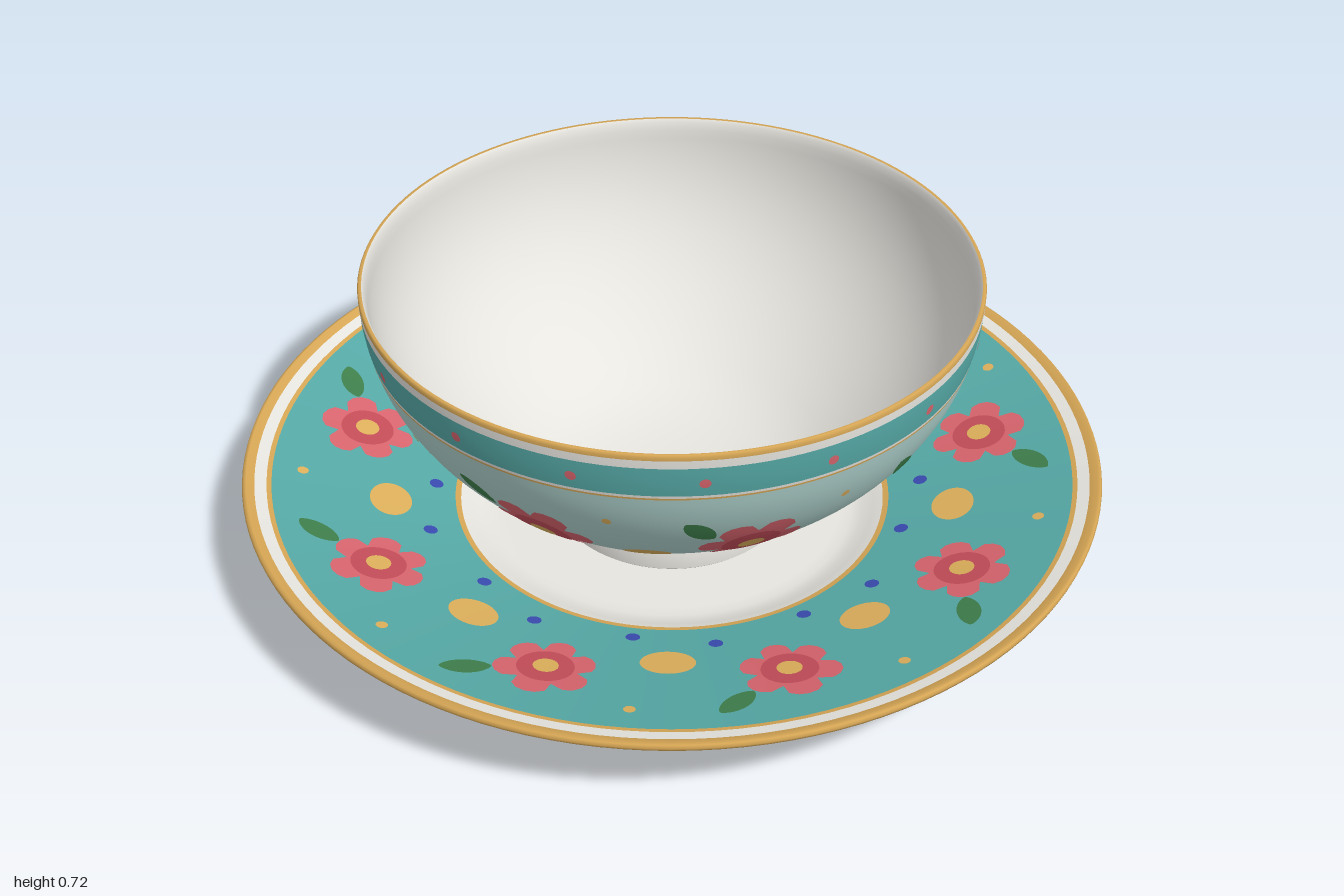
import * as THREE from 'three';
import { mergeGeometries } from 'three/addons/utils/BufferGeometryUtils.js';

const mat = (name, color) => {
  const m = new THREE.MeshStandardMaterial({ color });
  m.name = name;
  return m;
};

export function createModel() {
  const M = {
    white: mat('porcelain white', 0xe8e6e0),
    teal: mat('teal glaze', 0x56aaa7),
    aqua: mat('pale aqua glaze', 0xb0d3ce),
    gold: mat('gold trim', 0xd6a655),
    pink: mat('petal pink', 0xd9656e),
    rose: mat('deep rose', 0xc44d59),
    yellow: mat('blossom yellow', 0xdfb15c),
    green: mat('leaf green', 0x3f7f4c),
    blue: mat('berry blue', 0x3a4bb0),
  };
  const model = new THREE.Group();
  model.name = 'bowlAndSaucer';

  // A turned ring; points run from bottom centre, outside, over the rim, to inside centre
  const lathe = (group, name, material, points) => {
    const geo = new THREE.LatheGeometry(points.map(([r, y]) => new THREE.Vector2(r, y)), 128);
    const mesh = new THREE.Mesh(geo, material);
    mesh.name = name;
    group.add(mesh);
  };
  // Samples of a profile function between two heights
  const sample = (fn, a, b, n) => Array.from({ length: n + 1 }, (_, i) => fn(a + (b - a) * i / n));

  // A thin painted patch: concentric rings of an outline laid on a curved surface
  const patch = (outline, map, n = 36, rings = 4) => {
    const pos = [...map(0, 0)], index = [];
    for (let k = 1; k <= rings; k++)
      for (let i = 0; i < n; i++) {
        const [u, v] = outline(i / n * Math.PI * 2);
        pos.push(...map(u * k / rings, v * k / rings));
      }
    const id = (k, i) => 1 + (k - 1) * n + i % n;
    for (let i = 0; i < n; i++) {
      index.push(0, id(1, i), id(1, i + 1));
      for (let k = 1; k < rings; k++)
        index.push(id(k, i), id(k + 1, i), id(k + 1, i + 1), id(k, i), id(k + 1, i + 1), id(k, i + 1));
    }
    const g = new THREE.BufferGeometry();
    g.setAttribute('position', new THREE.Float32BufferAttribute(pos, 3));
    g.setIndex(index);
    g.computeVertexNormals();
    return g;
  };
  const oval = (a, b = a, turn = 0) => t => {
    const x = a * Math.cos(t), y = b * Math.sin(t), c = Math.cos(turn), s = Math.sin(turn);
    return [x * c - y * s, x * s + y * c];
  };
  const leaf = (a, b, turn) => t => {
    const x = a * Math.cos(t), y = b * Math.sin(t) * Math.abs(Math.sin(t)) ** 0.4;
    return [x * Math.cos(turn) - y * Math.sin(turn), x * Math.sin(turn) + y * Math.cos(turn)];
  };
  const petals = R => t => {
    const r = R * (0.64 + 0.36 * Math.sqrt(Math.abs(Math.cos(3 * t))));
    return [r * Math.cos(t), r * Math.sin(t)];
  };

  // Collects patches by colour, then adds one mesh per colour
  const painter = place => {
    const lists = {};
    const paint = (color, outline, angle, at, lift = 0.003) =>
      (lists[color] ??= []).push(patch(outline, place(angle * Math.PI / 180, at, lift)));
    const flower = (angle, at, R) => {
      paint('pink', petals(R), angle, at, 0.003);
      paint('rose', oval(R * 0.56), angle, at, 0.005);
      paint('yellow', oval(R * 0.25), angle, at, 0.007);
    };
    const finish = (group, names) => {
      for (const [color, list] of Object.entries(lists)) {
        const mesh = new THREE.Mesh(mergeGeometries(list), M[color]);
        mesh.name = names + color[0].toUpperCase() + color.slice(1);
        group.add(mesh);
      }
    };
    return { paint, flower, finish };
  };

  // ---- Saucer ----
  const saucer = new THREE.Group();
  saucer.name = 'saucer';
  model.add(saucer);
  const topY = r => 0.1 + (r - 0.515) * 0.264;
  const ring = (name, m, outer, inner) =>
    lathe(saucer, name, m, sample(r => [r, topY(r)], outer, inner, 4));
  lathe(saucer, 'saucerUnderside', M.white, [[0, 0.022], [0.42, 0.022], [0.44, 0.016],
    [0.46, 0.003], [0.475, 0], [0.492, 0.001], [0.5, 0.01], [0.512, 0.03], [0.535, 0.046],
    [0.6, 0.071], [0.8, 0.142], [0.99, 0.209]]);
  lathe(saucer, 'saucerRim', M.gold, [[0.99, 0.209], [0.998, 0.214], [1, 0.221], [0.997, 0.228],
    [0.99, 0.23], [0.972, topY(0.972)]]);
  ring('rimWhiteBand', M.white, 0.972, 0.945);
  ring('rimGoldLine', M.gold, 0.945, 0.934);
  ring('saucerGlaze', M.teal, 0.934, 0.515);
  ring('wellGoldLine', M.gold, 0.515, 0.502);
  lathe(saucer, 'saucerWell', M.white, [[0.502, topY(0.502)], [0.48, 0.087], [0.455, 0.073],
    [0.43, 0.067], [0.4, 0.065], [0, 0.065]]);

  // Saucer painting: u runs outward, v runs around
  const onSaucer = painter((phi, r0, lift) => (u, v) => {
    const r = r0 + u, p = phi - v / r0;
    return [r * Math.cos(p), topY(r) + lift, r * Math.sin(p)];
  });
  for (let i = 0; i < 9; i++) {
    const a = i * 40;
    onSaucer.flower(a + 20, 0.75, 0.11);
    onSaucer.paint('yellow', oval(0.048, 0.06), a, 0.665);
    onSaucer.paint('green', leaf(0.055, 0.026, -50 * Math.PI / 180), a - 10, 0.845);
    onSaucer.paint('yellow', oval(0.013), a + 5, 0.865);
    onSaucer.paint('blue', oval(0.016), a + 8, 0.56);
    onSaucer.paint('blue', oval(0.016), a + 30, 0.59);
  }
  onSaucer.finish(saucer, 'saucerPainting');

  // ---- Bowl ----
  const bowl = new THREE.Group();
  bowl.name = 'bowl';
  model.add(bowl);
  const bowlR = y => {
    const d = 0.715 - y;
    return 0.695 - 0.83 * d * d - 0.84 * d * d * d;
  };
  const band = (name, m, y0, y1, n = 3) => lathe(bowl, name, m, sample(y => [bowlR(y), y], y0, y1, n));
  lathe(bowl, 'bowlFoot', M.white, [[0, 0.085], [0.235, 0.085], [0.245, 0.068], [0.27, 0.068],
    [0.278, 0.076], [0.272, 0.11], [bowlR(0.145), 0.145]]);
  band('bowlBody', M.aqua, 0.145, 0.596, 24);
  band('bandGoldLine', M.gold, 0.596, 0.601);
  band('bandWhiteLine', M.white, 0.601, 0.608);
  band('bowlBand', M.teal, 0.608, 0.684, 6);
  band('rimWhiteBand', M.white, 0.684, 0.704);
  lathe(bowl, 'bowlRim', M.gold, [[bowlR(0.704), 0.704], [0.695, 0.712], [0.692, 0.717], [0.686, 0.716]]);
  lathe(bowl, 'bowlInside', M.white, [[0.686, 0.716], [0.681, 0.709],
    ...sample(y => [bowlR(y) - 0.018, y], 0.69, 0.25, 20),
    [0.36, 0.212], [0.3, 0.178], [0.23, 0.155], [0.15, 0.142], [0.07, 0.137], [0, 0.136]]);

  // Bowl painting: u runs around, v runs up
  const onBowl = painter((phi, y0, lift) => (u, v) => {
    const y = y0 + v, r = bowlR(y) + lift, p = phi + u / bowlR(y0);
    return [r * Math.sin(p), y, r * Math.cos(p)];
  });
  for (let i = 0; i < 8; i++) {
    const a = i * 45;
    onBowl.flower(a + 22.5, 0.38, 0.112);
    onBowl.flower(a + 22.5, 0.255, 0.042);
    onBowl.paint('yellow', oval(0.052, 0.036), a, 0.325);
    onBowl.paint('yellow', oval(0.03, 0.022), a, 0.245);
    onBowl.paint('green', leaf(0.048, 0.026, 2.3), a + 11, 0.475);
    onBowl.paint('yellow', oval(0.01), a + 39, 0.51);
    onBowl.paint('pink', oval(0.012), a + 11.25, 0.645);
    onBowl.paint('pink', oval(0.012), a + 33.75, 0.645);
  }
  onBowl.finish(bowl, 'bowlPainting');

  return model;
}
